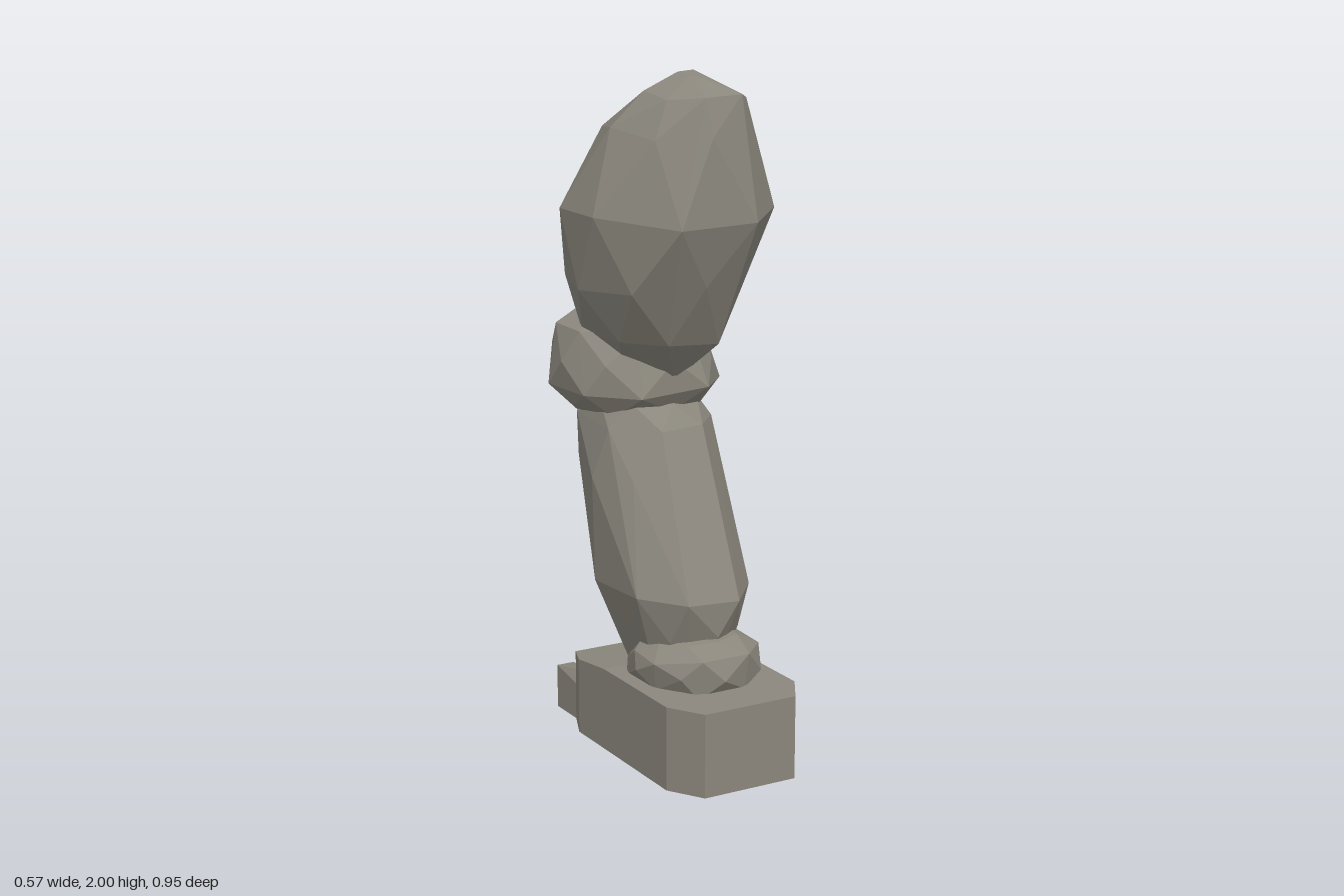
import * as THREE from 'three';
import { ConvexGeometry } from 'three/addons/geometries/ConvexGeometry.js';

const stone = new THREE.MeshStandardMaterial({ color: 0x8b877d });
stone.name = 'stone';
stone.flatShading = true;

const SIDES = 8;

// Small seeded generator for the irregular facets
function seeded(seed) {
  let s = seed;
  return () => (s = (s * 16807) % 2147483647) / 2147483647 - 0.5;
}

function hull(name, points) {
  const mesh = new THREE.Mesh(new ConvexGeometry(points), stone);
  mesh.name = name;
  return mesh;
}

// Faceted boulder: each ring is [y, zBack, zFront, xRight, xLeft]
function boulder(name, rings, seed) {
  const rand = seeded(seed);
  const points = [];
  rings.forEach(([y, z0, z1, x0, x1], i) => {
    const half = i % 2 ? Math.PI / SIDES : 0;
    const grow = i % 2 ? 1 / Math.cos(Math.PI / SIDES) : 1;
    for (let k = 0; k < SIDES; k++) {
      const a = (k / SIDES) * Math.PI * 2 + half + rand() * 0.22;
      points.push(new THREE.Vector3(
        (x0 + x1) / 2 + Math.cos(a) * grow * (x1 - x0) / 2,
        y + rand() * 0.03,
        (z0 + z1) / 2 + Math.sin(a) * grow * (z1 - z0) / 2
      ));
    }
  });
  return hull(name, points);
}

export function createModel() {
  const model = new THREE.Group();
  model.name = 'stoneLeg';

  model.add(boulder('thigh', [
    [1.99, 0.03, 0.12, 0.0, 0.07],
    [1.94, -0.05, 0.26, -0.1, 0.16],
    [1.84, -0.21, 0.29, -0.2, 0.2],
    [1.6, -0.31, 0.3, -0.28, 0.28],
    [1.4, -0.355, 0.235, -0.275, 0.25],
    [1.22, -0.31, 0.14, -0.18, 0.19],
    [1.12, -0.25, 0.03, -0.08, 0.1],
  ], 11));

  model.add(boulder('knee', [
    [1.29, -0.41, -0.29, -0.07, 0.07],
    [1.24, -0.44, -0.02, -0.2, 0.2],
    [1.15, -0.475, 0.04, -0.245, 0.24],
    [1.07, -0.47, 0.045, -0.23, 0.25],
    [1.0, -0.43, 0.0, -0.2, 0.2],
    [0.94, -0.37, -0.18, -0.12, 0.12],
  ], 37));

  model.add(boulder('shin', [
    [1.03, -0.28, 0.02, -0.16, 0.16],
    [0.97, -0.34, 0.07, -0.18, 0.18],
    [0.83, -0.335, 0.14, -0.21, 0.195],
    [0.5, -0.21, 0.285, -0.205, 0.2],
    [0.38, -0.15, 0.28, -0.16, 0.16],
    [0.25, -0.07, 0.2, -0.12, 0.12],
  ], 53));

  model.add(boulder('ankle', [
    [0.385, 0.02, 0.3, -0.12, 0.12],
    [0.34, 0.0, 0.34, -0.17, 0.17],
    [0.28, -0.06, 0.36, -0.19, 0.2],
    [0.23, -0.08, 0.33, -0.16, 0.16],
  ], 71));

  // Foot block with clipped corners and a top that dips towards the toes
  const foot = [];
  for (const s of [-1, 1]) {
    for (const [x, z, top] of [
      [0.15, 0.475, 0.25], [0.215, 0.37, 0.25], [0.215, 0, 0.25],
      [0.215, -0.16, 0.232], [0.17, -0.265, 0.218],
    ]) {
      foot.push(new THREE.Vector3(s * x, 0, z), new THREE.Vector3(s * x, top, z));
    }
  }
  model.add(hull('foot', foot));

  // Five toes with ridged tops
  for (let i = 0; i < 5; i++) {
    const cx = (i - 2) * 0.07;
    const points = [new THREE.Vector3(cx, 0.155, -0.29), new THREE.Vector3(cx, 0.155, -0.25)];
    for (const s of [-1, 1]) {
      for (const z of [-0.25, -0.39]) {
        points.push(new THREE.Vector3(cx + s * 0.029, 0, z));
        points.push(new THREE.Vector3(cx + s * 0.029, z < -0.3 ? 0.135 : 0.11, z));
      }
    }
    model.add(hull('toe' + (i + 1), points));
  }

  return model;
}
